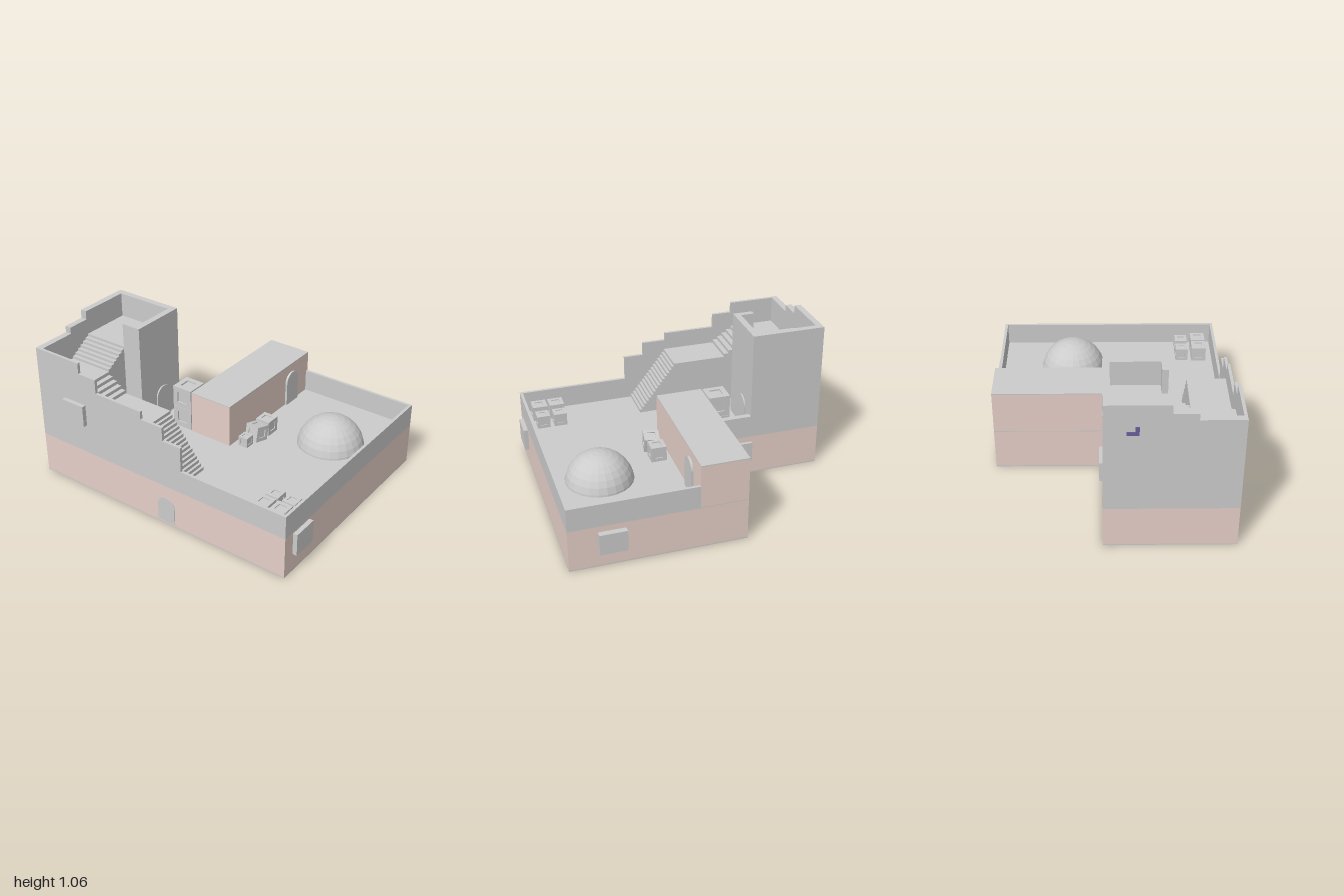
import * as THREE from 'three';

const grey = new THREE.MeshStandardMaterial({ color: 0xcccccc, flatShading: true });
const pink = new THREE.MeshStandardMaterial({ color: 0xe6cfc8, flatShading: true });
const violet = new THREE.MeshStandardMaterial({ color: 0x66609a, flatShading: true });

const FLOOR = 0.3;

export function createModel() {
  const model = new THREE.Group();

  const add = (name, geometry, material = grey, parent = model) => {
    const mesh = new THREE.Mesh(geometry, material);
    mesh.name = name;
    parent.add(mesh);
    return mesh;
  };
  // Box given by its extents
  const block = (name, x0, x1, y0, y1, z0, z1, material = grey) => {
    const mesh = add(name, new THREE.BoxGeometry(x1 - x0, y1 - y0, z1 - z0), material);
    mesh.position.set((x0 + x1) / 2, (y0 + y1) / 2, (z0 + z1) / 2);
    return mesh;
  };
  const polygon = (points) => new THREE.Shape(points.map(([x, y]) => new THREE.Vector2(x, y)));
  const extrude = (shape, depth) =>
    new THREE.ExtrudeGeometry(shape, { depth, bevelEnabled: false, curveSegments: 8 });

  // L-shaped ground storey: thin plinth, painted wall, roof slab
  const plan = [[-0.985, -0.79], [0.97, -0.79], [0.97, 0.78], [-0.2, 0.78], [-0.2, 0.05], [-0.985, 0.05]]
    .map(([x, y]) => [x < -0.9 ? -1 : x, y]);
  const storey = (name, y0, y1, material) => {
    const mesh = add(name, extrude(polygon(plan), y1 - y0), material);
    mesh.rotation.x = -Math.PI / 2;
    mesh.position.y = y0;
  };
  storey('plinth', 0, 0.008, grey);
  storey('lowerWalls', 0.008, 0.295, pink);
  storey('roofFloor', 0.295, FLOOR, grey);

  // Stepped front parapet
  const front = add('frontParapet', extrude(polygon([
    [-1, FLOOR], [0.97, FLOOR], [0.97, 0.455], [0.19, 0.455], [0.19, 0.63], [0.05, 0.63],
    [0.05, 0.725], [-0.12, 0.725], [-0.12, 0.78], [-0.49, 0.78], [-0.49, 0.88],
    [-0.63, 0.88], [-0.63, 0.955], [-1, 0.955],
  ]), 0.02));
  front.position.z = 0.77;

  // Stepped left-hand wall beside the tower (profile runs along -z)
  const side = add('sideParapet', extrude(polygon([
    [-0.79, FLOOR], [0.05, FLOOR], [0.05, 1.06], [-0.355, 1.06], [-0.355, 1],
    [-0.51, 1], [-0.51, 0.955], [-0.79, 0.955],
  ]), 0.045));
  side.rotation.y = Math.PI / 2;
  side.position.x = -1;

  // Low parapets
  block('rightParapet', 0.95, 0.97, FLOOR, 0.455, -0.78, 0.79);
  block('backParapet', 0.12, 0.97, FLOOR, 0.455, -0.78, -0.76);
  block('terraceParapet', -0.49, -0.2, FLOOR, 0.455, -0.05, -0.01);

  // Tower with open platform
  block('towerBody', -0.98, -0.49, FLOOR, 0.89, -0.05, 0.35);
  block('towerBackWall', -0.98, -0.49, 0.89, 1.06, -0.05, -0.005);
  block('towerRightWall', -0.535, -0.49, 0.89, 1.06, -0.05, 0.35);
  block('towerFrontWall', -0.63, -0.49, 0.89, 1.06, 0.31, 0.35);

  // Stairs and landings
  block('upperLanding', -0.98, -0.63, FLOOR, 0.77, 0.35, 0.78);
  block('middleLanding', -0.49, -0.11, FLOOR, 0.655, 0.51, 0.78);
  const stairsX = (name, xStart, xEnd, yStart, yEnd, n) => {
    const run = (xStart - xEnd) / n;
    for (let i = 0; i < n; i++) {
      const y = yStart + ((yEnd - yStart) * (i + 1)) / (n + 1);
      block(name, xStart - (i + 1) * run, xStart - i * run, FLOOR, y, 0.51, 0.78);
    }
  };
  stairsX('lowerStep', 0.15, -0.11, FLOOR, 0.655, 15);
  stairsX('middleStep', -0.49, -0.63, 0.655, 0.77, 4);
  for (let i = 0; i < 6; i++) {
    const z = 0.51 - (i * 0.16) / 6;
    block('upperStep', -0.96, -0.63, 0.77, 0.77 + (0.12 * (i + 1)) / 7, 0.35, z);
  }

  // Long roof house
  block('roofHouse', -0.2, 0.12, FLOOR, 0.595, -0.78, 0.18, pink);
  block('roofHouseTop', -0.2, 0.12, 0.595, 0.602, -0.78, 0.18);

  // Dome
  const dome = add('dome', new THREE.SphereGeometry(0.23, 24, 8, 0, Math.PI * 2, 0, Math.PI / 2));
  dome.position.set(0.64, 0.268, -0.26);

  // Shutters on the outer walls
  block('frontShutter', -0.77, -0.59, 0.51, 0.66, 0.78, 0.82);
  block('rightShutter', 0.96, 1, 0.13, 0.285, 0.525, 0.705);
  block('backShutter', 0.6, 0.78, 0.11, 0.255, -0.82, -0.77);
  block('terraceShutter', -0.5, -0.315, 0.11, 0.255, -0.072, -0.04);

  // Arched doors
  const door = (name, width, height, depth, position, turn) => {
    const r = width / 2;
    const shape = new THREE.Shape();
    shape.moveTo(-r, 0);
    shape.lineTo(r, 0);
    shape.lineTo(r, height - r);
    shape.absarc(0, height - r, r, 0, Math.PI, false);
    shape.closePath();
    const mesh = add(name, extrude(shape, depth));
    mesh.position.set(...position);
    mesh.rotation.y = turn;
  };
  door('frontDoor', 0.135, 0.185, 0.008, [0.065, 0.02, 0.786], 0);
  door('houseDoor', 0.14, 0.24, 0.02, [0.115, FLOOR, -0.56], Math.PI / 2);
  door('towerDoor', 0.14, 0.24, 0.015, [-0.495, FLOOR, 0.13], Math.PI / 2);

  // Small wall bracket on the tower
  block('wallBracket', -1.006, -0.995, 0.85, 0.91, 0.14, 0.165, violet);
  block('wallBracketArm', -1.006, -0.995, 0.85, 0.875, 0.09, 0.14, violet);

  // Crates with a raised frame on every face
  const frame = polygon([[-0.5, -0.5], [0.5, -0.5], [0.5, 0.5], [-0.5, 0.5]]);
  frame.holes.push(new THREE.Path(
    [[-0.26, -0.26], [-0.26, 0.26], [0.26, 0.26], [0.26, -0.26]].map(([x, y]) => new THREE.Vector2(x, y))));
  const frameGeometry = extrude(frame, 0.08).translate(0, 0, 0.42);
  const crate = (x, y, z, size, turn = 0, tilt = 0) => {
    const group = new THREE.Group();
    group.name = 'crate';
    add('crateCore', new THREE.BoxGeometry(0.86, 0.86, 0.86), grey, group);
    for (let i = 0; i < 4; i++) add('crateFrame', frameGeometry, grey, group).rotation.y = (i * Math.PI) / 2;
    for (const s of [-1, 1]) add('crateFrame', frameGeometry, grey, group).rotation.x = (s * Math.PI) / 2;
    group.scale.setScalar(size);
    group.rotation.set(tilt, turn, 0);
    group.position.set(x, y + size / 2, z);
    model.add(group);
  };
  crate(-0.285, FLOOR, 0.1, 0.15);
  crate(-0.285, FLOOR + 0.152, 0.1, 0.15);
  crate(0.21, FLOOR, -0.125, 0.105);
  crate(0.215, FLOOR + 0.008, 0.0, 0.105, -0.16, -0.2);
  crate(0.195, FLOOR, 0.1, 0.07);
  for (const x of [0.735, 0.855]) {
    crate(x, FLOOR, 0.545, 0.09);
    crate(x, FLOOR, 0.67, 0.105);
  }

  return model;
}
